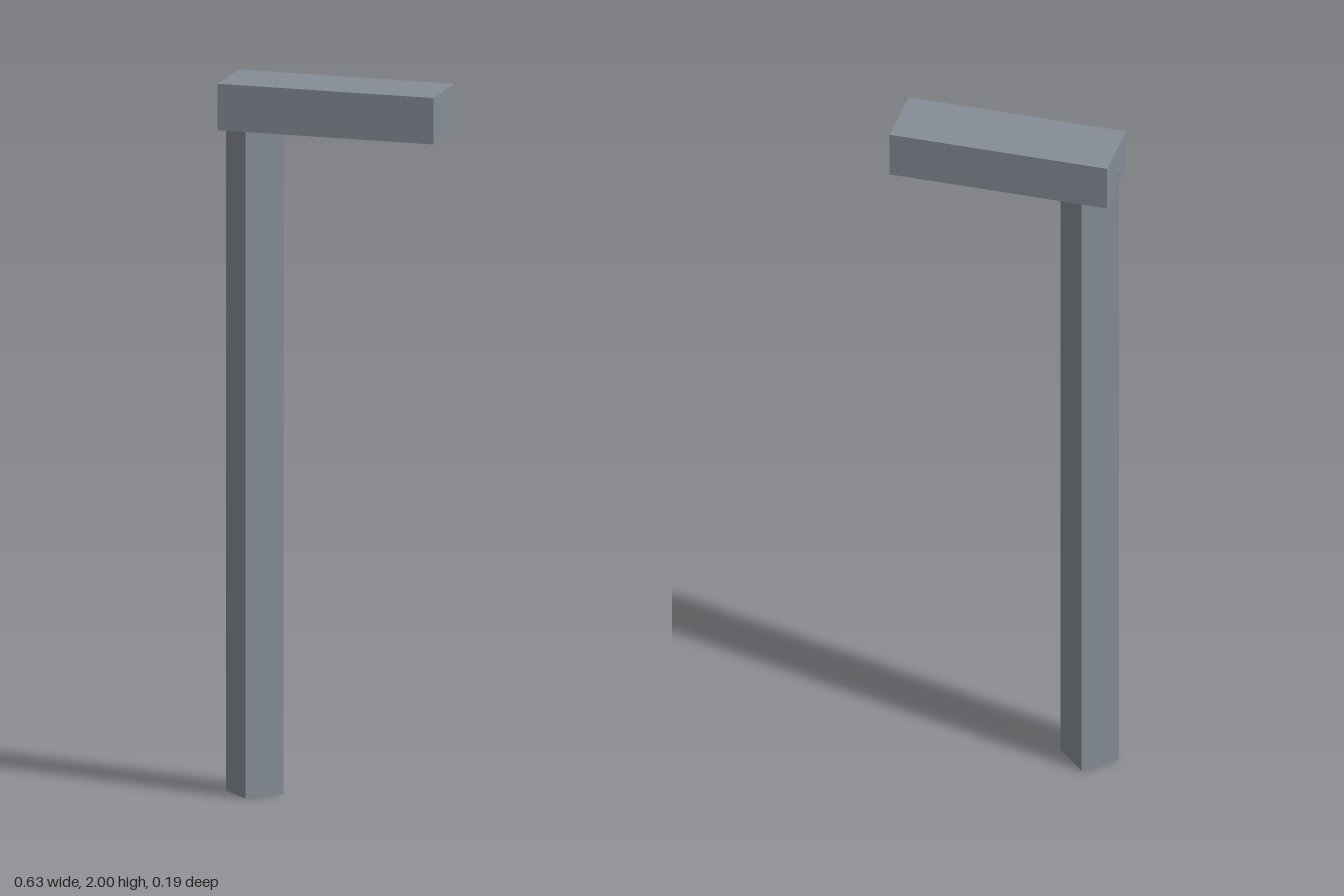
import * as THREE from 'three';

export function createModel() {
  const group = new THREE.Group();
  const steel = new THREE.MeshStandardMaterial({ color: 0x868d97 });
  steel.name = 'steel grey';

  // Four-sided upright, set corner-on and running up into the arm
  const postHeight = 1.935;
  const postGeometry = new THREE.CylinderGeometry(0.083, 0.083, postHeight, 4).toNonIndexed();
  postGeometry.computeVertexNormals(); // crisp flat sides
  const post = new THREE.Mesh(postGeometry, steel);
  post.name = 'post';
  post.position.set(-0.23, postHeight / 2, 0);
  group.add(post);

  // Horizontal arm reaching out to the left
  const arm = new THREE.Mesh(new THREE.BoxGeometry(0.619, 0.13, 0.193), steel);
  arm.name = 'arm';
  arm.position.set(0.003, 1.935, 0);
  group.add(arm);

  return group;
}
